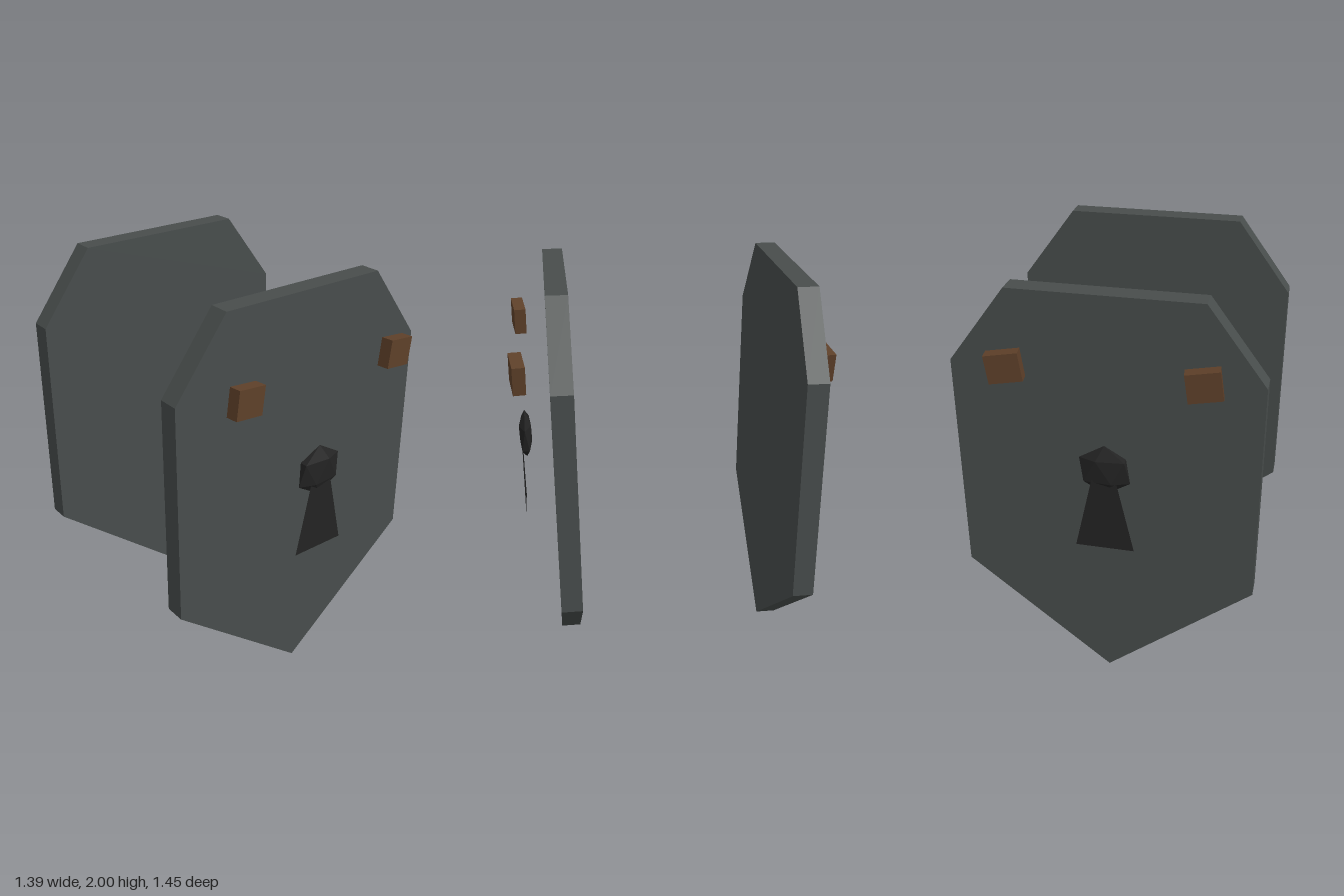
import * as THREE from 'three';

const mat = (name, color, extra = {}) => {
  const m = new THREE.MeshStandardMaterial({ color, ...extra });
  m.name = name;
  return m;
};

const shapeFrom = (pts) => new THREE.Shape(pts.map(([x, y]) => new THREE.Vector2(x, y)));

// Flattened twenty-sided knob with its poles along y
function knobGeometry(r, zScale) {
  const pos = [0, r, 0];
  for (let ring = 0; ring < 2; ring++) {
    for (let i = 0; i < 5; i++) {
      const a = (i * 2 * Math.PI) / 5 + ring * Math.PI / 5;
      pos.push(0.92 * r * Math.cos(a), (ring ? -0.447 : 0.447) * r, -0.92 * r * Math.sin(a) * zScale);
    }
  }
  pos.push(0, -r, 0);
  const idx = [];
  for (let i = 0; i < 5; i++) {
    const n = (i + 1) % 5;
    const a = 1 + i, b = 1 + n, c = 6 + i, d = 6 + n;
    idx.push(0, a, b, a, c, b, b, c, d, 11, d, c);
  }
  const g = new THREE.BufferGeometry();
  g.setAttribute('position', new THREE.Float32BufferAttribute(pos, 3));
  g.setIndex(idx);
  const flat = g.toNonIndexed();
  flat.computeVertexNormals();
  return flat;
}

export function createModel() {
  const group = new THREE.Group();
  const iron = mat('dark iron', 0x484d4c);
  const wood = mat('brown wood', 0x5e4029);
  const black = mat('black', 0x232323);
  const blackFlat = black.clone();
  blackFlat.side = THREE.DoubleSide;

  const plateGeo = new THREE.ExtrudeGeometry(shapeFrom([
    [0, 0], [0.695, 0.565], [0.695, 1.645], [0.43, 2], [-0.43, 2], [-0.695, 1.645], [-0.695, 0.565],
  ]), { depth: 0.1, bevelEnabled: false });
  const slotGeo = new THREE.ShapeGeometry(shapeFrom([
    [-0.138, 0.767], [0.138, 0.767], [0.053, 1.15], [-0.053, 1.15],
  ]));
  const knobGeo = knobGeometry(0.127, 0.27);
  const pegGeo = new THREE.BoxGeometry(0.152, 0.134, 0.058);

  const add = (parent, name, geo, material, x, y, z) => {
    const m = new THREE.Mesh(geo, material);
    m.name = name;
    m.position.set(x, y, z);
    parent.add(m);
    return m;
  };

  // Two shield plates with keyhole and pegs on the outer faces
  for (const [name, plateZ, pegZ, knobZ, slotZ] of [
    ['frontShield', 0.45, 0.689, 0.681, 0.7],
    ['backShield', -0.65, -0.686, -0.677, -0.7],
  ]) {
    const shield = new THREE.Group();
    shield.name = name;
    group.add(shield);
    add(shield, 'plate', plateGeo, iron, 0, 0, plateZ);
    add(shield, 'keyholeTop', knobGeo, black, 0, 1.178, knobZ);
    add(shield, 'keyholeSlot', slotGeo, blackFlat, 0, 0, slotZ);
    for (const [side, s] of [['left', 1], ['right', -1]]) {
      add(shield, side + 'Peg', pegGeo, wood, s * 0.435, 1.655, pegZ).rotation.set(0, 0.12, -0.14);
    }
  }
  return group;
}
